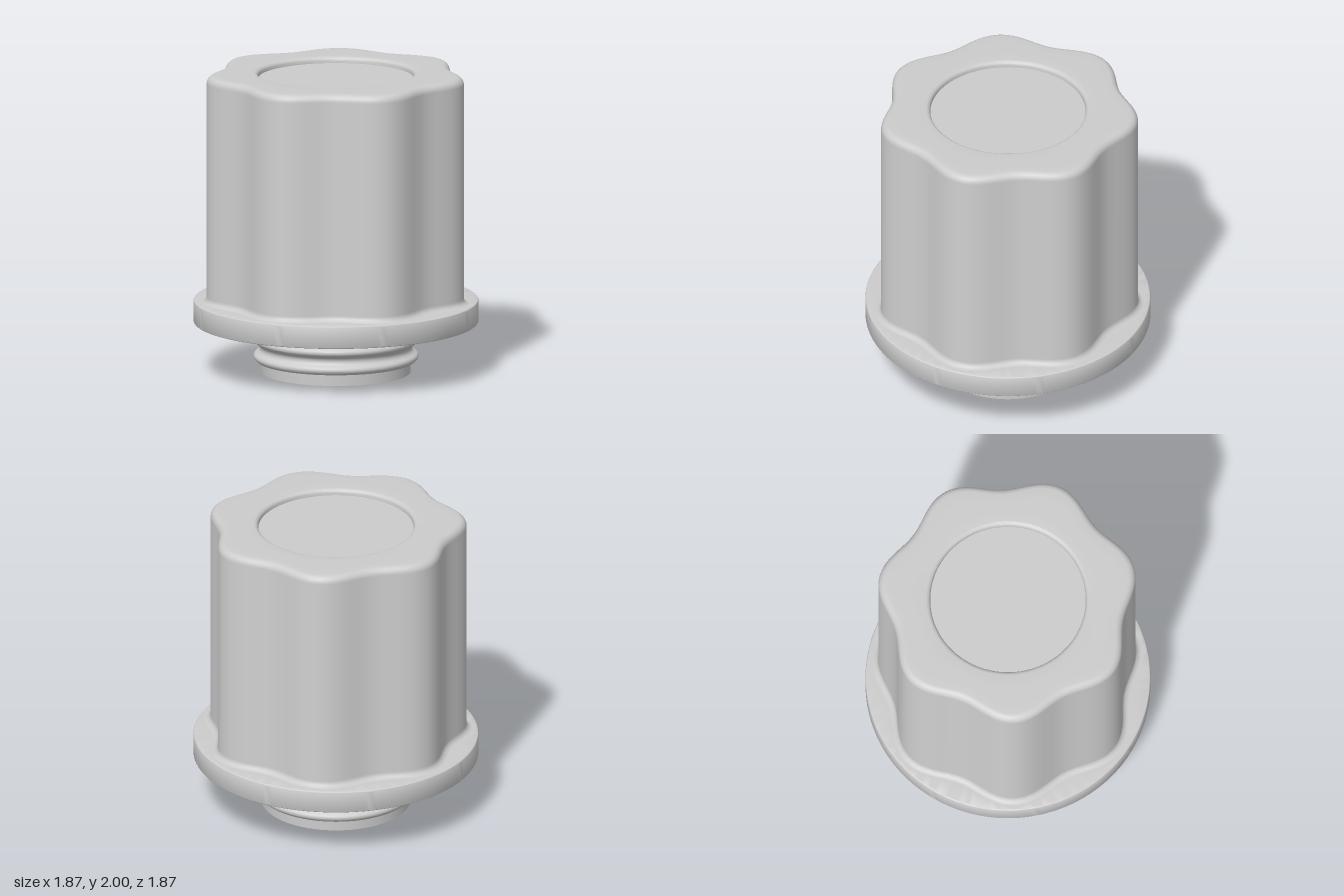
import * as THREE from 'three';
import { mergeVertices, toCreasedNormals } from 'three/addons/utils/BufferGeometryUtils.js';

const LOBES = 7, LOBE_DEPTH = 0.045, SEGMENTS = 168;
const { smoothstep } = THREE.MathUtils;

// Points on an arc in the (radius, height) plane, angles in degrees
function arc(cx, cy, r, from, to, steps = 6) {
  return Array.from({ length: steps + 1 }, (_, i) => {
    const a = THREE.MathUtils.degToRad(from + (to - from) * i / steps);
    return [cx + r * Math.cos(a), cy + r * Math.sin(a)];
  });
}

// Revolved shell; the grip zone gets a seven-lobed wave
function shell(name, profile) {
  const points = profile.map(([r, y]) => new THREE.Vector2(r, y));
  let geo = new THREE.LatheGeometry(points, SEGMENTS);
  const p = geo.attributes.position;
  for (let i = 0; i < p.count; i++) {
    const x = p.getX(i), y = p.getY(i), z = p.getZ(i);
    const r = Math.hypot(x, z);
    if (y < 0.47 || r < 0.55) continue;
    const w = smoothstep(r, 0.55, 0.75) * (1 - smoothstep(r, 0.87, 0.92));
    const k = 1 - w * LOBE_DEPTH * Math.cos(LOBES * Math.atan2(x, z)) / r;
    p.setXYZ(i, x * k, y, z * k);
  }
  geo.deleteAttribute('uv');
  geo.deleteAttribute('normal');
  geo = toCreasedNormals(mergeVertices(geo, 1e-5), 0.6);
  const mesh = new THREE.Mesh(geo, new THREE.MeshStandardMaterial({ color: 0xcccccc, side: THREE.DoubleSide }));
  mesh.name = name;
  return mesh;
}

export function createModel() {
  const group = new THREE.Group();
  group.name = 'knobCap';

  // Open neck with two rounded ridges
  const neck = [[0.49, 0], [0.49, 0.075]];
  for (const y of [0.107, 0.224]) {
    neck.push(
      [0.52, y - 0.03],
      ...arc(0.515, y, 0.026, -70, 70, 8),
      ...arc(0.53, y + 0.0585, 0.031, 240, 120, 6),
    );
  }
  neck.push(...arc(0.535, 0.298, 0.037, 180, 90));
  group.add(shell('threadedNeck', neck));

  // Round flange with softened rims
  group.add(shell('flange', [
    [0.535, 0.335],
    ...arc(0.925, 0.345, 0.01, -90, 0, 4),
    ...arc(0.923, 0.473, 0.012, 0, 90, 4),
    [0.855, 0.485],
  ]));

  // Lobed grip: bottom fillet, straight wall, rounded top edge, lip of the recess
  group.add(shell('lobedGrip', [
    ...arc(0.855, 0.525, 0.04, 270, 180),
    ...arc(0.765, 1.95, 0.05, 0, 90),
    [0.7, 2], [0.62, 2],
    ...arc(0.54, 1.97, 0.03, 90, 180),
    [0.51, 1.96],
  ]));

  // Recessed disc in the top
  group.add(shell('topDisc', [[0.51, 1.96], [0, 1.96]]));
  return group;
}
